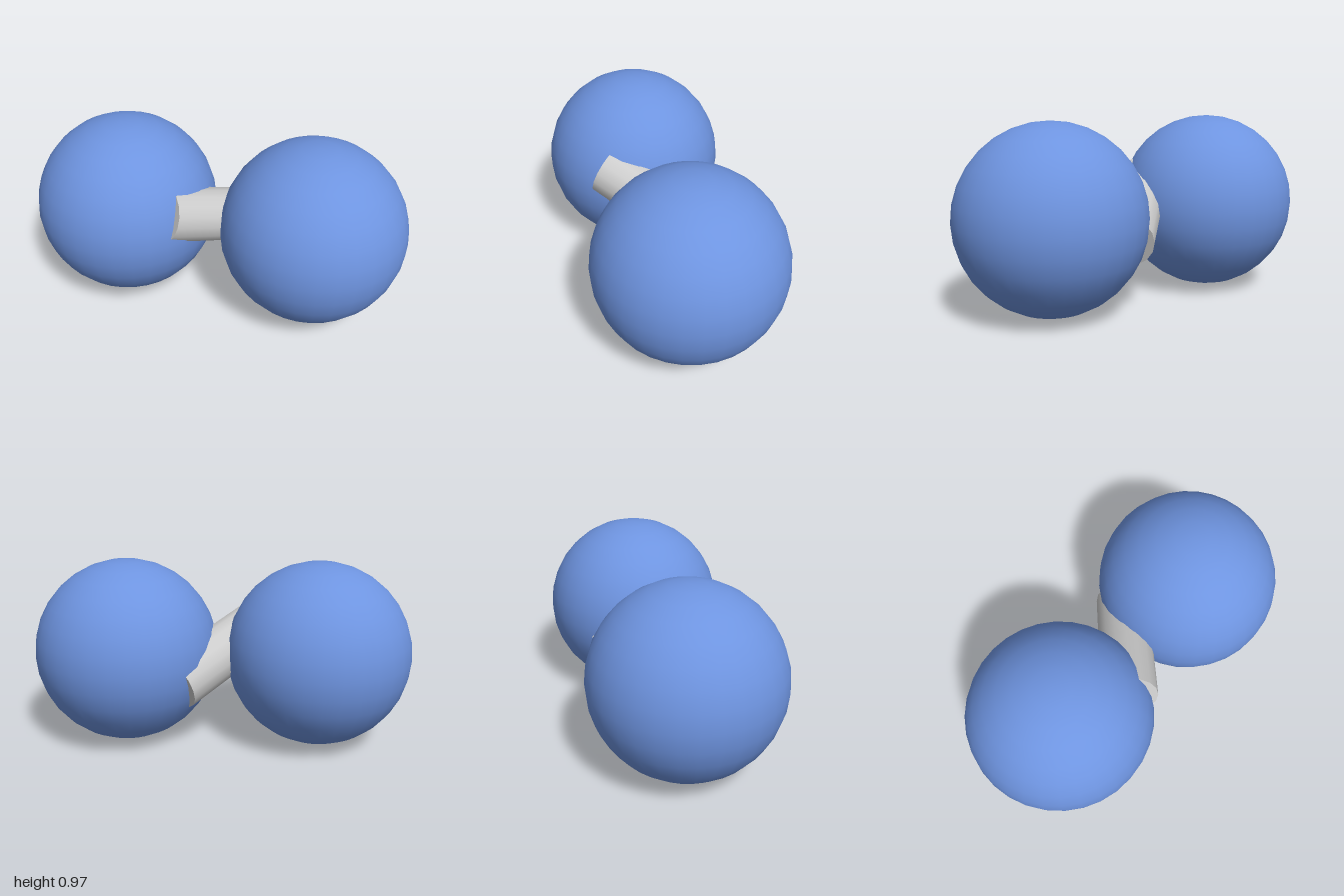
import * as THREE from 'three';

export function createModel() {
  const model = new THREE.Group();
  model.name = 'diatomicMolecule';

  const blue = new THREE.MeshStandardMaterial({ color: 0x6e94e0 });
  blue.name = 'atomBlue';
  const grey = new THREE.MeshStandardMaterial({ color: 0xcccccc });
  grey.name = 'bondGrey';

  const centreY = 0.489;

  // Two equal atoms, mirrored across x = 0
  const atomGeometry = new THREE.SphereGeometry(0.487, 32, 16);
  for (const [name, side] of [['leftAtom', 1], ['rightAtom', -1]]) {
    const atom = new THREE.Mesh(atomGeometry, blue);
    atom.name = name;
    atom.position.set(side * 0.513, centreY, 0);
    model.add(atom);
  }

  // Slanted bond rod crossing the gap between the atoms
  const bond = new THREE.Mesh(new THREE.CylinderGeometry(0.145, 0.145, 0.67, 16), grey);
  bond.name = 'bond';
  bond.position.y = centreY;
  bond.quaternion.setFromUnitVectors(
    new THREE.Vector3(0, 1, 0),
    new THREE.Vector3(-2, 1, 2).normalize()
  );
  model.add(bond);

  return model;
}
